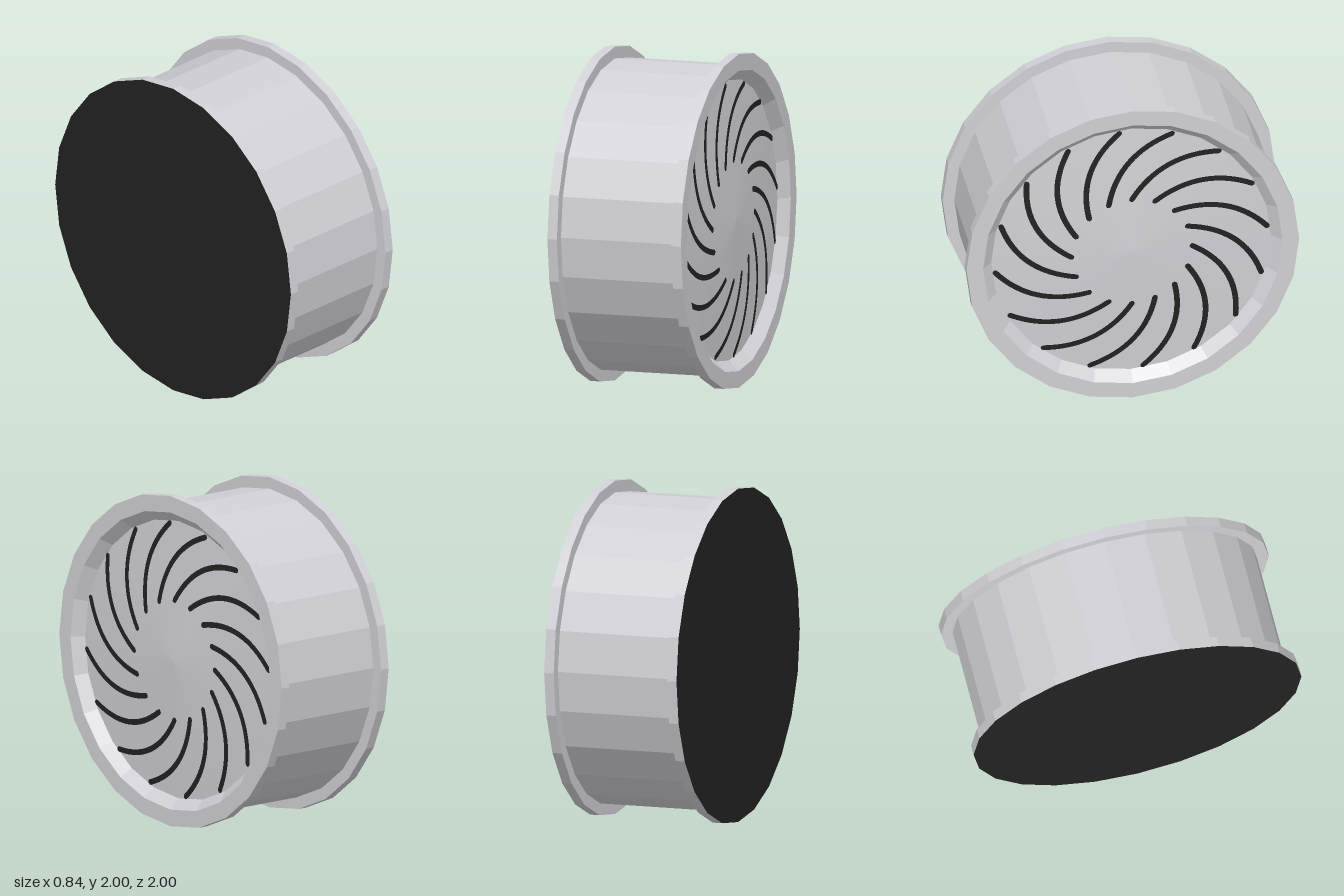
import * as THREE from 'three';

const SIDES = 24;
const silver = new THREE.MeshStandardMaterial({ color: 0xcfcfd5, flatShading: true });
silver.name = 'silver';
const black = new THREE.MeshStandardMaterial({ color: 0x222222 });
black.name = 'black';

// Height of the shallow dished face along the axle at a given radius
const RIM = 0.84;
const faceHeight = (r) => 0.403 - 0.046 * (r / RIM);

// Turned part around the x axis; points are [radius, x]
function turned(name, points) {
  const geo = new THREE.LatheGeometry(points.map(([r, x]) => new THREE.Vector2(r, x)), SIDES);
  geo.rotateZ(-Math.PI / 2);
  const mesh = new THREE.Mesh(geo, silver);
  mesh.name = name;
  return mesh;
}

// Curved slot with round ends, laid on the face
function slotGeometry() {
  const half = 0.017, steps = 16;
  const sweep = THREE.MathUtils.degToRad(-40);
  const a = new THREE.Vector2(0.363, 0);
  const b = new THREE.Vector2(Math.cos(sweep), Math.sin(sweep)).multiplyScalar(0.82);
  const chord = b.clone().sub(a).normalize();
  const mid = a.clone().add(b).multiplyScalar(0.5)
    .add(new THREE.Vector2(-chord.y, chord.x).multiplyScalar(0.176));
  const curve = new THREE.QuadraticBezierCurve(a, mid, b);
  const left = [], right = [];
  for (let i = 0; i <= steps; i++) {
    const p = curve.getPoint(i / steps), t = curve.getTangent(i / steps);
    const n = new THREE.Vector2(-t.y, t.x).multiplyScalar(half);
    left.push(p.clone().add(n));
    right.push(p.clone().sub(n));
  }
  const cap = (t, turn) => [1, 2, 3].map((k) => {
    const d = curve.getTangent(t), ang = Math.atan2(d.y, d.x) + turn - k * Math.PI / 4;
    return curve.getPoint(t).add(new THREE.Vector2(Math.cos(ang), Math.sin(ang)).multiplyScalar(half));
  });
  const outline = [...left, ...cap(1, Math.PI / 2), ...right.reverse(), ...cap(0, -Math.PI / 2)];
  const geo = new THREE.ShapeGeometry(new THREE.Shape(outline));
  const pos = geo.attributes.position;
  for (let i = 0; i < pos.count; i++) {
    pos.setZ(i, faceHeight(Math.hypot(pos.getX(i), pos.getY(i))) + 0.005);
  }
  geo.computeVertexNormals();
  return geo;
}

export function createModel() {
  const model = new THREE.Group();
  model.name = 'wheel';
  model.position.y = 1;

  // Barrel, two flanges and the dished face
  model.add(turned('barrel', [[0.93, -0.36], [0.93, 0.36]]));
  model.add(turned('innerFlange', [[1, -0.42], [1, -0.36], [0.93, -0.36]]));
  model.add(turned('outerFlange', [[0.93, 0.36], [1, 0.36], [1, 0.42], [0.9, 0.42], [RIM, faceHeight(RIM)]]));
  model.add(turned('face', [[RIM, faceHeight(RIM)], [0, faceHeight(0)]]));

  // Flat black back
  const back = new THREE.Mesh(new THREE.CircleGeometry(1, SIDES), black);
  back.name = 'backPlate';
  back.rotation.y = -Math.PI / 2;
  back.position.x = -0.42;
  model.add(back);

  // Ring of swirling slots
  const slots = new THREE.Group();
  slots.name = 'slots';
  slots.rotation.y = Math.PI / 2;
  const geo = slotGeometry();
  for (let i = 0; i < 16; i++) {
    const slot = new THREE.Mesh(geo, black);
    slot.name = 'slot';
    slot.rotation.z = (i / 16) * Math.PI * 2;
    slots.add(slot);
  }
  model.add(slots);

  const root = new THREE.Group();
  root.name = 'model';
  root.add(model);
  return root;
}
